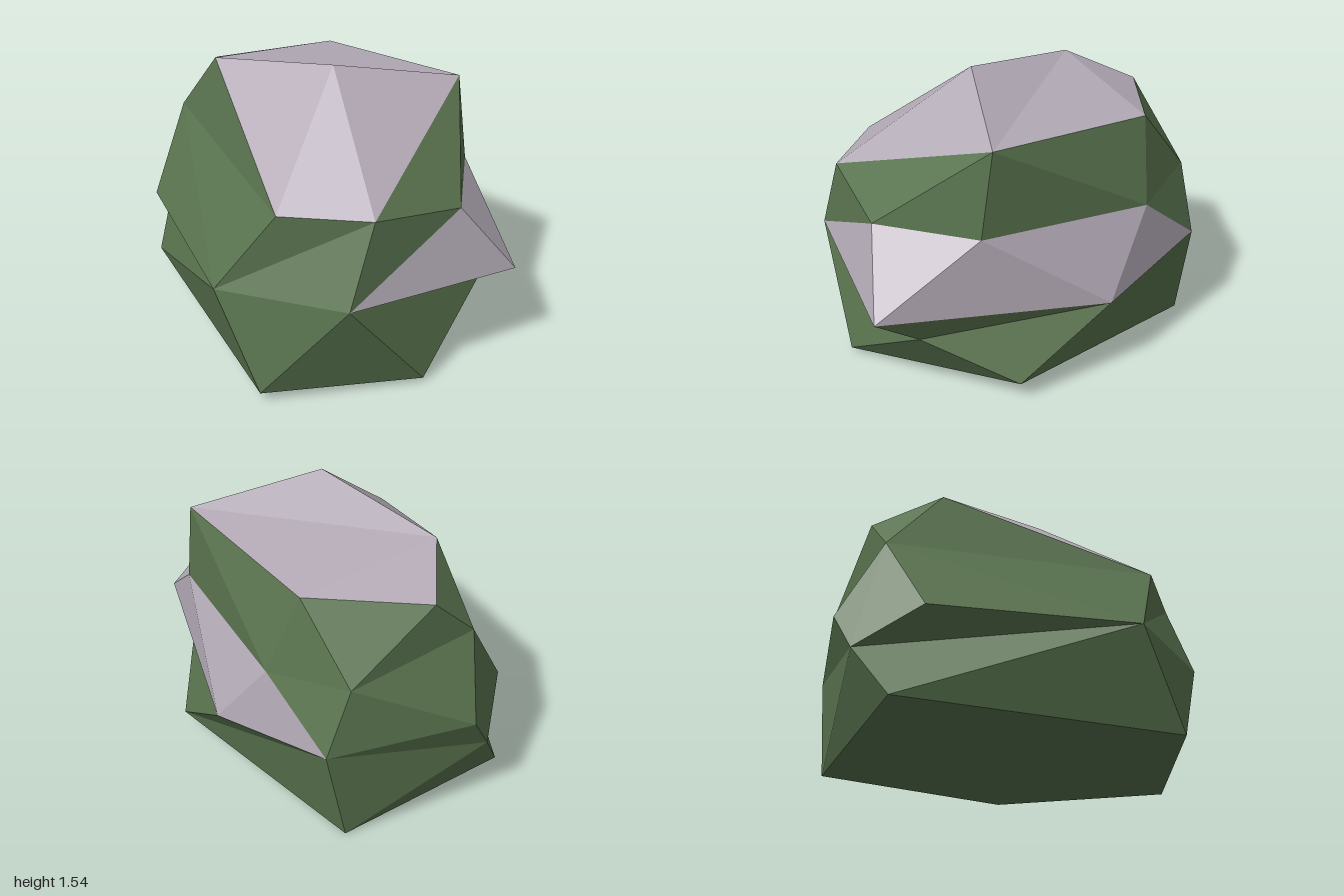
import * as THREE from 'three';

// Corner points of the boulder
const P = {
  // crown
  A: [-0.02, 1.54, 0.23], B: [-0.37, 1.41, -0.45], C: [0.68, 1.39, 0.36], Q: [0.42, 1.32, -0.57], R: [-0.20, 1.26, -0.80],
  // upper ring
  D: [-0.58, 1.02, 0.66], E: [-0.19, 1.02, 0.94], F: [0.35, 0.93, 0.89], G: [0.70, 0.93, 0.43],
  S: [0.59, 0.89, -0.52], T: [0.28, 0.93, -0.88], X: [-0.44, 1.03, -0.77],
  // middle ring
  H: [-0.84, 0.58, 0.47], I: [-0.36, 0.59, 1.00], J: [0.66, 0.53, 0.98], K: [0.78, 0.46, -0.25],
  V: [0.42, 0.56, -0.90], U: [-0.36, 0.61, -1.00], W: [-0.48, 0.40, -0.93], Y: [-0.70, 0.58, -0.62], L: [0.61, 0.36, 0.74],
  // foot
  M: [0.83, 0.11, 0.27], N: [0.10, 0.03, 0.99], O: [0.31, 0, -0.89], P: [-0.72, 0.06, 0.73], Z: [-0.64, 0.11, -0.77],
};
for (const k in P) P[k] = new THREE.Vector3(...P[k]);
const core = new THREE.Vector3(0, 0.65, 0);

// Each fan is a hub corner followed by the corners around it; facets face away from the core
function facets(name, fans, material) {
  const points = [];
  for (const fan of fans) {
    const [hub, ...rim] = [...fan].map((k) => P[k]);
    for (let i = 0; i + 1 < rim.length; i++) {
      const tri = new THREE.Triangle(hub, rim[i], rim[i + 1]);
      const out = tri.getNormal(new THREE.Vector3()).dot(hub.clone().sub(core)) > 0;
      points.push(hub, ...(out ? [rim[i], rim[i + 1]] : [rim[i + 1], rim[i]]));
    }
  }
  const geometry = new THREE.BufferGeometry().setFromPoints(points);
  geometry.computeVertexNormals();
  const mesh = new THREE.Mesh(geometry, material);
  mesh.name = name;
  return mesh;
}

export function createModel() {
  const stone = new THREE.MeshStandardMaterial({ color: 0xb4abb7, flatShading: true });
  stone.name = 'pale stone';
  const moss = new THREE.MeshStandardMaterial({ color: 0x59734e, flatShading: true });
  moss.name = 'moss green';

  const boulder = new THREE.Group();
  boulder.name = 'boulder';
  boulder.add(
    facets('stoneCrown', ['ABCEDB', 'BCQR'], stone),
    facets('stoneLedge', ['JIFGK', 'KGSV'], stone),
    facets('upperMoss', ['CEFGSQ', 'EFI', 'TRQS'], moss),
    facets('rightMoss', ['HDEIPZWYXD', 'XDBRTUWY'], moss),
    facets('lowerMoss', ['LIJKM', 'VKMOWUTS'], moss),
    facets('base', ['NPILMOP', 'OWZP'], moss),
  );
  return boulder;
}
